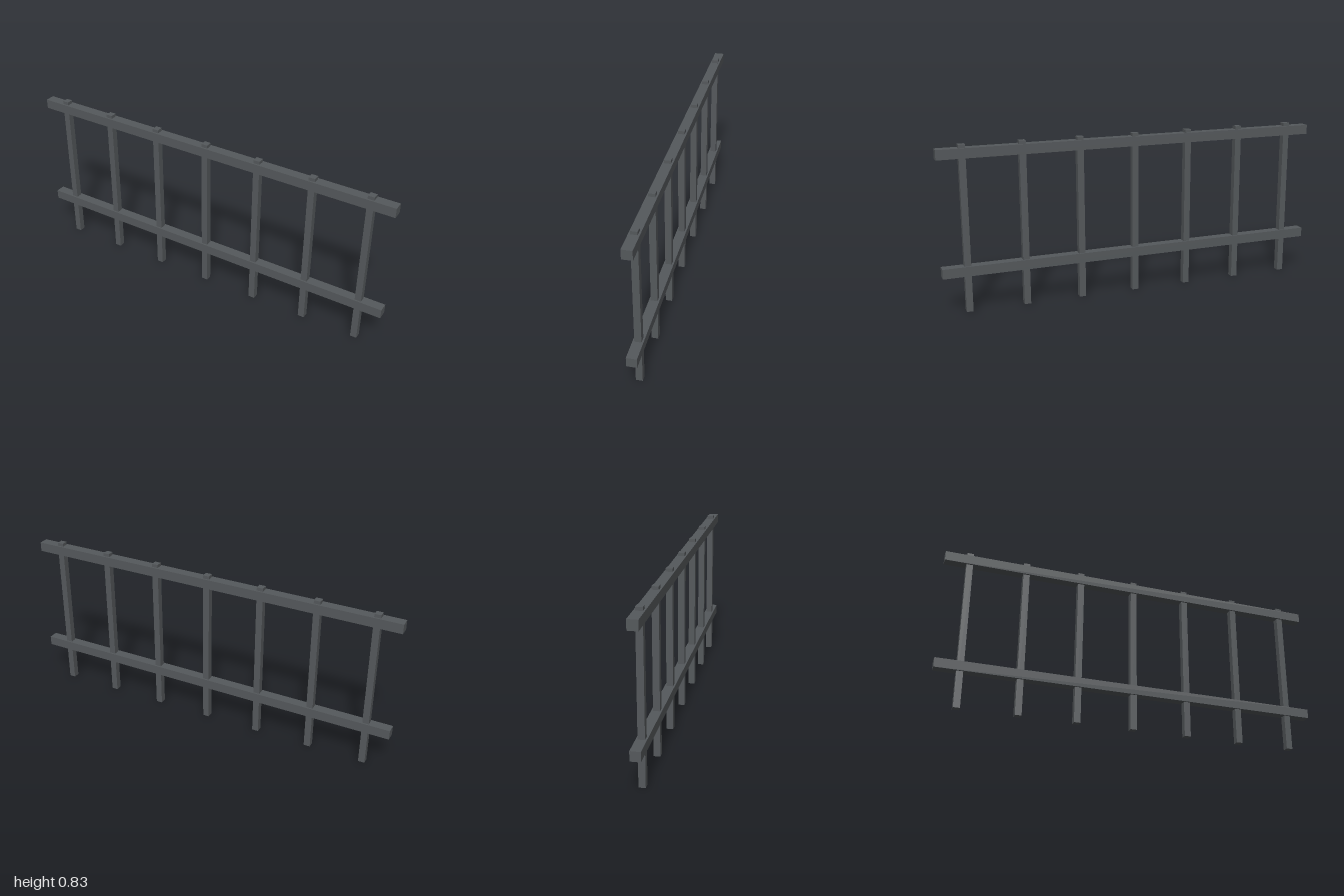
import * as THREE from 'three';

const metal = new THREE.MeshStandardMaterial({ color: 0x55595c, flatShading: true });

function addBar(group, name, size, position) {
  const bar = new THREE.Mesh(new THREE.BoxGeometry(...size), metal);
  bar.name = name;
  bar.position.set(...position);
  group.add(bar);
}

export function createModel() {
  const fence = new THREE.Group();
  fence.name = 'railFence';

  // Horizontal rails
  const railSize = [2, 0.049, 0.05];
  addBar(fence, 'lowerRail', railSize, [0, 0.21, 0]);
  addBar(fence, 'upperRail', railSize, [0, 0.793, 0]);

  // Evenly spaced posts, passing through both rails
  const postCount = 7, spacing = 0.2917, height = 0.834;
  for (let i = 0; i < postCount; i++) {
    const x = (i - (postCount - 1) / 2) * spacing;
    addBar(fence, `post${i + 1}`, [0.033, height, 0.033], [x, height / 2, 0]);
  }
  return fence;
}
